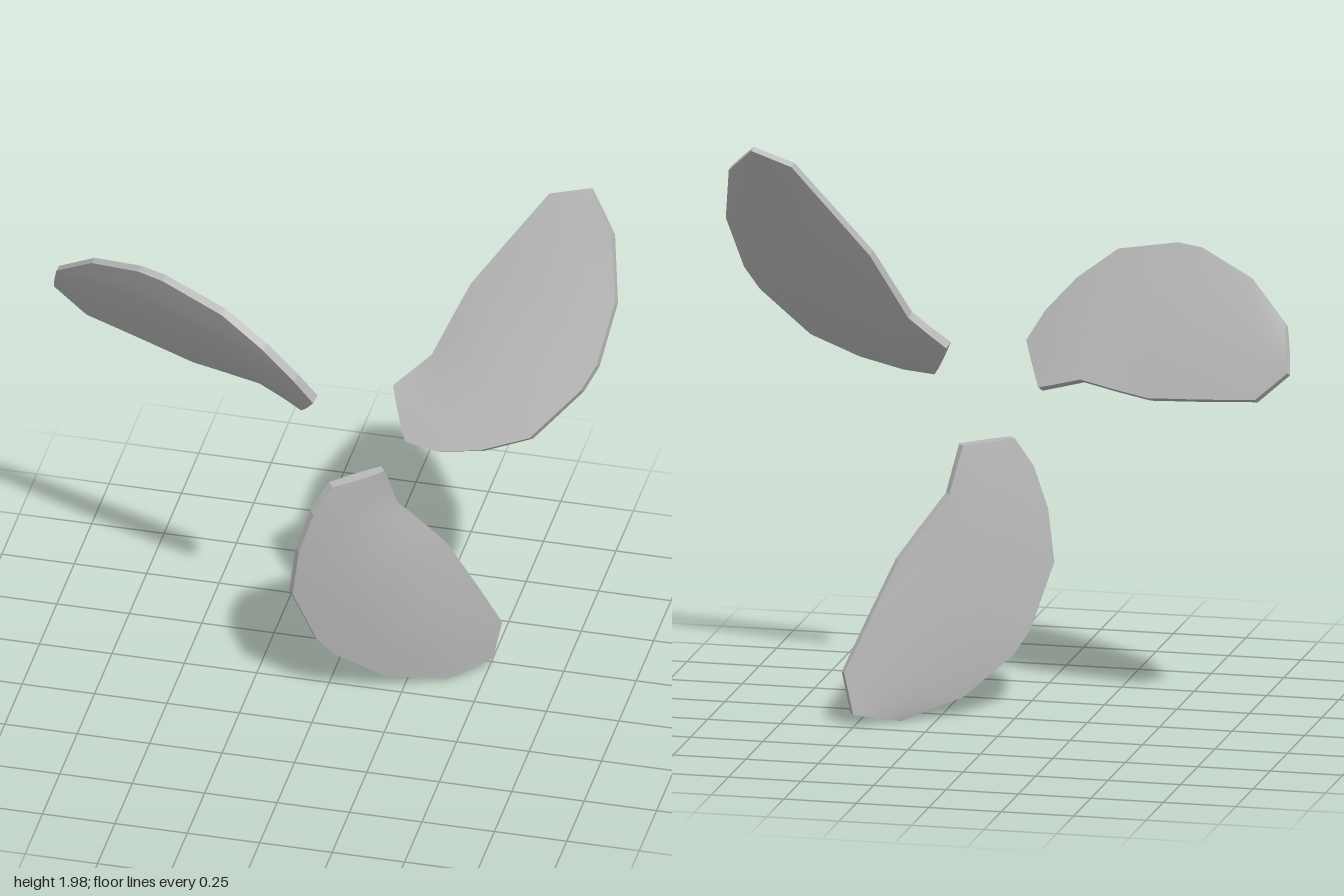
import * as THREE from 'three';
import { mergeGeometries } from 'three/addons/utils/BufferGeometryUtils.js';

const HUB = new THREE.Vector3(0.12, 1.113, 0); // centre the blades turn about
const NORMAL = new THREE.Vector3(0.6, 0, 0.8); // pitch of the blade face

// Matching points on the leading and trailing edge, from root to tip
const LEADING = [
  [0.05, 0.93, 0.185], [-0.007, 0.83, 0.22], [-0.055, 0.68, 0.23], [-0.079, 0.5, 0.22],
  [-0.014, 0.28, 0.145], [0.035, 0.2, 0.105], [0.183, 0.07, 0], [0.37, 0.005, -0.115],
];
const TRAILING = [
  [0.197, 0.93, 0.05], [0.212, 0.86, 0.025], [0.232, 0.77, 0], [0.307, 0.665, -0.055],
  [0.38, 0.56, -0.105], [0.46, 0.375, -0.17], [0.538, 0.19, -0.23], [0.508, 0.045, -0.225],
];
const ACROSS = 6;

function makeGeometry(points, indices) {
  const g = new THREE.BufferGeometry().setFromPoints(points);
  g.setIndex(indices);
  g.computeVertexNormals();
  return g;
}

// One lens-shaped blade: front face, back face and a thin rim
function bladeGeometry() {
  const rows = LEADING.length, cols = ACROSS + 1;
  const front = [], back = [], frontIndex = [], backIndex = [];
  for (let i = 0; i < rows; i++) {
    const a = new THREE.Vector3(...LEADING[i]).sub(HUB);
    const b = new THREE.Vector3(...TRAILING[i]).sub(HUB);
    const span = Math.sin(Math.PI * i / (rows - 1));
    const rim = 0.016 - 0.006 * i / (rows - 1);
    for (let j = 0; j < cols; j++) {
      const t = j / ACROSS;
      const bulge = Math.sin(Math.PI * t) * (0.006 + 0.022 * span);
      const p = a.clone().lerp(b, t);
      front.push(p.clone().addScaledVector(NORMAL, rim + bulge));
      back.push(p.clone().addScaledVector(NORMAL, -rim - bulge * 0.5));
    }
  }
  for (let i = 0; i < rows - 1; i++) {
    for (let j = 0; j < ACROSS; j++) {
      const a = i * cols + j, b = a + cols, c = b + 1, d = a + 1;
      frontIndex.push(a, b, c, a, c, d);
      backIndex.push(a, c, b, a, d, c);
    }
  }
  // Rim runs down the leading edge, round the tip and back up to the root
  const loop = [];
  for (let i = 0; i < rows - 1; i++) loop.push(i * cols);
  for (let j = 0; j < ACROSS; j++) loop.push((rows - 1) * cols + j);
  for (let i = rows - 1; i > 0; i--) loop.push(i * cols + ACROSS);
  for (let j = ACROSS; j > 0; j--) loop.push(j);
  const rimPoints = [], rimIndex = [];
  loop.forEach((p, k) => {
    const q = loop[(k + 1) % loop.length], o = rimPoints.length;
    rimPoints.push(front[p], back[p], back[q], front[q]);
    rimIndex.push(o, o + 1, o + 2, o, o + 2, o + 3);
  });
  return mergeGeometries([
    makeGeometry(front, frontIndex),
    makeGeometry(back, backIndex),
    makeGeometry(rimPoints, rimIndex),
  ]);
}

export function createModel() {
  const model = new THREE.Group();
  model.name = 'propellerBlades';
  const grey = new THREE.MeshStandardMaterial({ color: 0xb8b8b8 });
  grey.name = 'bladeGrey';
  const geometry = bladeGeometry();
  // Three equal blades around the hub centre
  ['lowerBlade', 'leftUpperBlade', 'rightUpperBlade'].forEach((name, i) => {
    const blade = new THREE.Mesh(geometry, grey);
    blade.name = name;
    blade.position.copy(HUB);
    blade.rotation.z = i * Math.PI * 2 / 3;
    model.add(blade);
  });
  return model;
}
